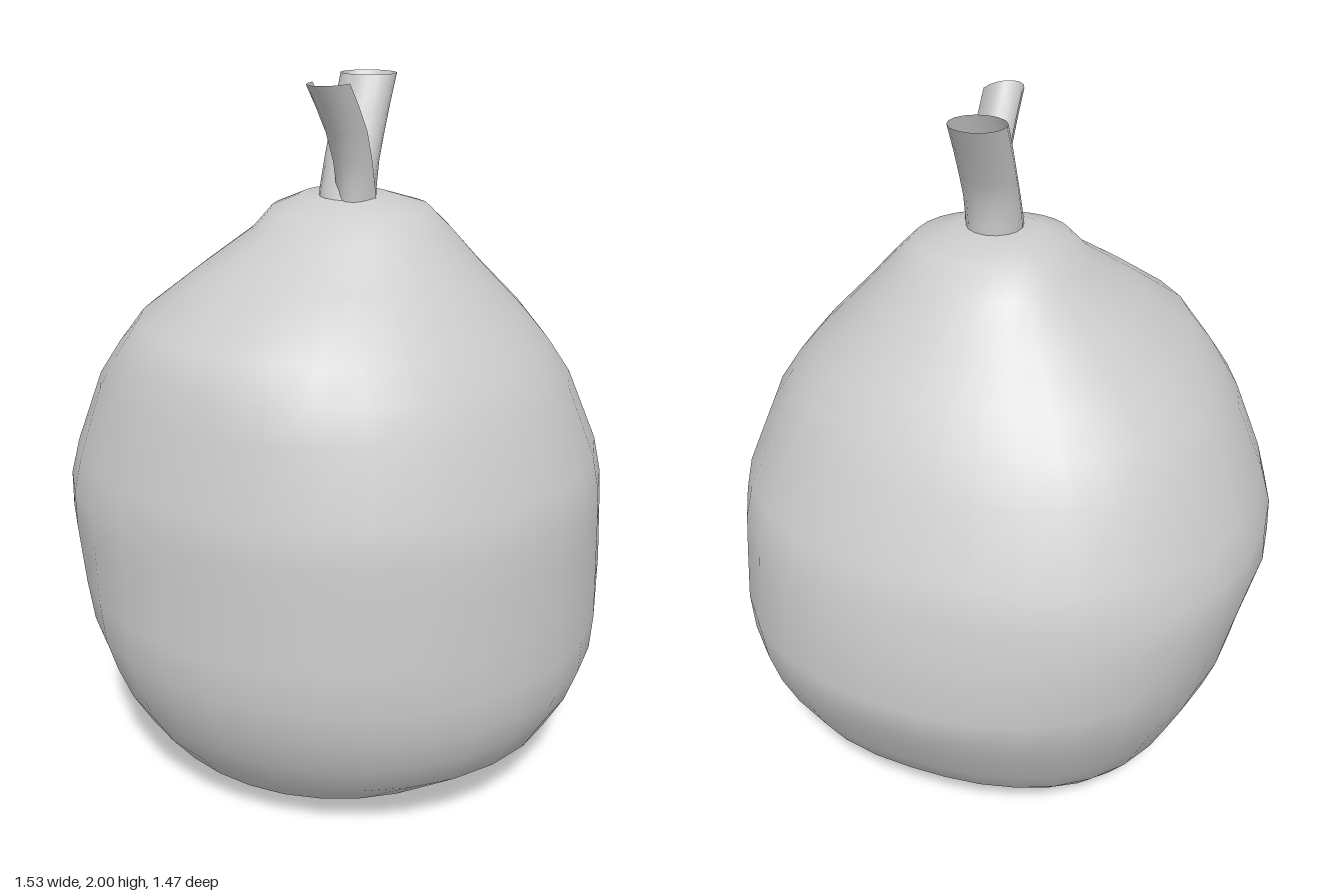
import * as THREE from 'three';

const grey = () => new THREE.MeshStandardMaterial({ color: 0xcccccc, side: THREE.DoubleSide });

// Skins a stack of cross-sections (bottom to top); point(row, angle) gives [x, y, z].
function loft(name, rows, segs, point, { arc = Math.PI * 2, caps = null } = {}) {
  const closed = arc > 6.28;
  const n = closed ? segs : segs + 1;
  const pos = [], index = [];
  rows.forEach((row) => {
    for (let i = 0; i < n; i++) pos.push(...point(row, (i / segs) * arc));
  });
  for (let r = 0; r < rows.length - 1; r++) {
    for (let i = 0; i < segs; i++) {
      const a = r * n + i, b = r * n + ((i + 1) % n);
      index.push(a, a + n, b, b, a + n, b + n);
    }
  }
  if (caps) {
    const bottom = pos.length / 3, top = bottom + 1, last = (rows.length - 1) * n;
    pos.push(...caps[0], ...caps[1]);
    for (let i = 0; i < segs; i++) {
      const j = (i + 1) % n;
      index.push(bottom, i, j, top, last + j, last + i);
    }
  }
  const geo = new THREE.BufferGeometry();
  geo.setAttribute('position', new THREE.Float32BufferAttribute(pos, 3));
  geo.setIndex(index);
  geo.computeVertexNormals();
  const mesh = new THREE.Mesh(geo, grey());
  mesh.name = name;
  return mesh;
}

// Lumpy fruit body: height, then reach towards +x, -x, +z, -z
const bodyRows = [
  [0.03, 0.30, 0.28, 0.33, 0.27],
  [0.06, 0.42, 0.40, 0.46, 0.37],
  [0.11, 0.54, 0.52, 0.54, 0.45],
  [0.20, 0.67, 0.575, 0.61, 0.54],
  [0.30, 0.725, 0.62, 0.67, 0.60],
  [0.40, 0.76, 0.665, 0.705, 0.65],
  [0.50, 0.765, 0.70, 0.73, 0.70],
  [0.62, 0.76, 0.725, 0.735, 0.735],
  [0.80, 0.755, 0.77, 0.72, 0.705],
  [0.90, 0.75, 0.765, 0.725, 0.69],
  [1.00, 0.73, 0.735, 0.71, 0.66],
  [1.20, 0.65, 0.65, 0.665, 0.56],
  [1.29, 0.59, 0.58, 0.635, 0.50],
  [1.38, 0.515, 0.50, 0.595, 0.44],
  [1.50, 0.40, 0.35, 0.42, 0.33],
  [1.60, 0.31, 0.22, 0.26, 0.25],
  [1.66, 0.25, 0.17, 0.20, 0.19],
  [1.69, 0.14, 0.10, 0.10, 0.11],
];

// Extra bulge on the diagonals, by quadrant
function diagonal(x, z) {
  if (x > 0) return z > 0 ? 0 : 0.04;
  return 0.03;
}

function bodyPoint([y, px, nx, pz, nz], a) {
  const c = Math.cos(a), s = Math.sin(a);
  const r = (c > 0 ? px : nx) * c * c + (s > 0 ? pz : nz) * s * s;
  const k = r * (1 + diagonal(c, s) * Math.sin(2 * a) ** 2);
  return [k * c, y, k * s];
}

// Hollow stem leaning back: height, z centre, z radius
const stemRows = [
  [1.64, 0.03, 0.085], [1.71, 0.02, 0.075], [1.78, 0.0, 0.06],
  [1.84, -0.025, 0.06], [1.92, -0.06, 0.065], [2.0, -0.1, 0.07],
];

// Curled strip peeling forward: height, z of inner edges, depth of the curl
const stripRows = [
  [1.64, 0.02, 0.08], [1.71, 0.03, 0.07], [1.79, 0.05, 0.07],
  [1.87, 0.08, 0.085], [1.94, 0.13, 0.09], [2.0, 0.18, 0.09],
];

export function createModel() {
  const model = new THREE.Group();
  model.name = 'fruit';
  model.add(
    loft('body', bodyRows, 32, bodyPoint, { caps: [[0.02, 0, 0], [0.03, 1.69, 0]] }),
    loft('stem', stemRows, 16, ([y, z, r], a) =>
      [0.038 + 0.077 * Math.cos(a), y, z + r * Math.sin(a)]),
    loft('peelingStrip', stripRows, 8, ([y, z, d], a) =>
      [0.072 + 0.053 * Math.cos(a), y, z + d * Math.sin(a)], { arc: Math.PI }),
  );
  return model;
}
